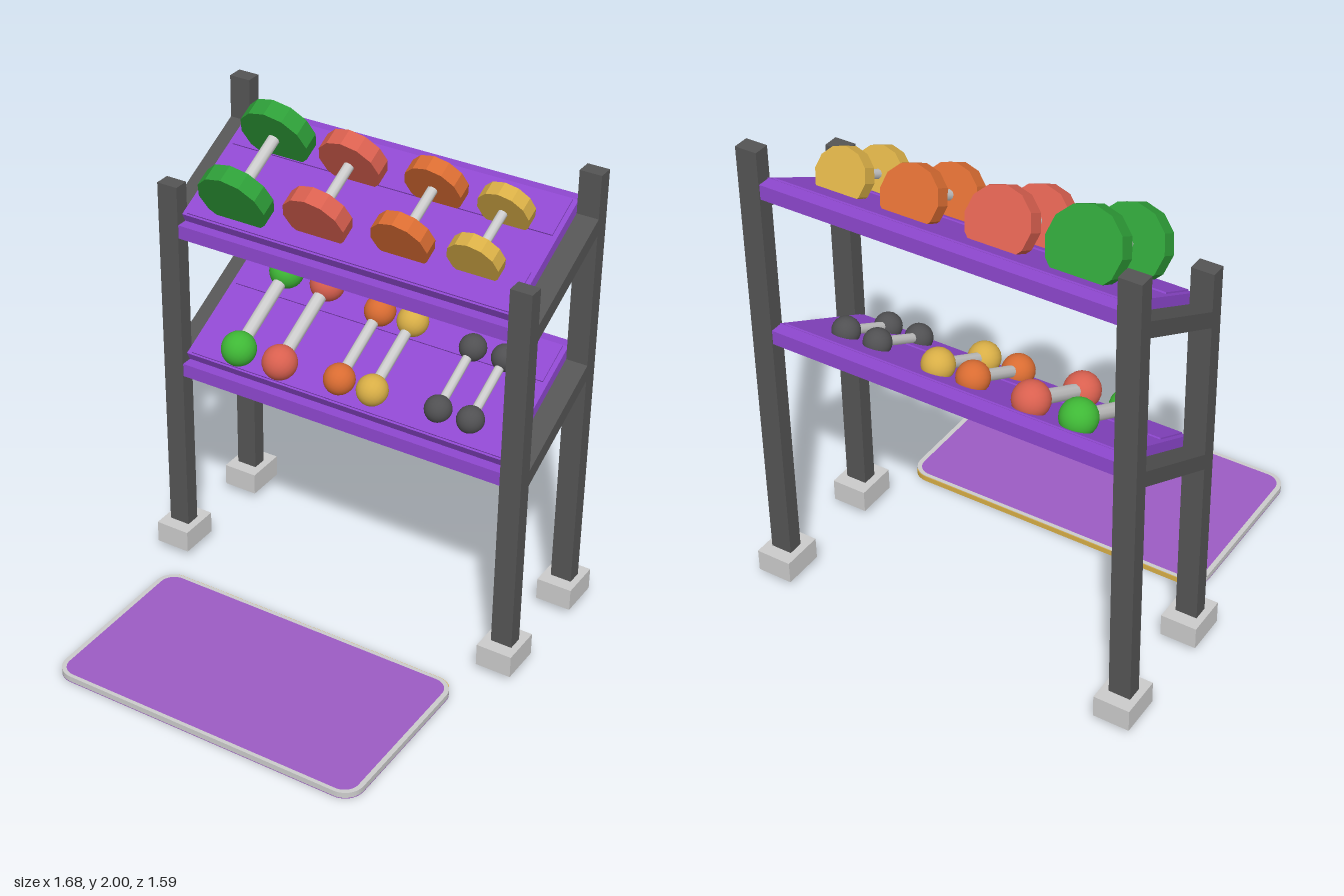
import * as THREE from 'three';

const mat = (name, color, side = THREE.FrontSide) => {
  const m = new THREE.MeshStandardMaterial({ color, side });
  m.name = name;
  return m;
};

export function createModel() {
  const model = new THREE.Group();
  model.name = 'dumbbellRackWithMat';

  const frame = mat('frameGrey', 0x555555);
  const purple = mat('shelfPurple', 0x8f48d0);
  const matPurple = mat('matPurple', 0x9d5cc4);
  const light = mat('lightGrey', 0xcccccc, THREE.DoubleSide);
  const discGreen = mat('discGreen', 0x2e9e38);
  const ballGreen = mat('ballGreen', 0x3fb836);
  const red = mat('red', 0xd9604f);
  const orange = mat('orange', 0xd96c32);
  const yellow = mat('yellow', 0xd8ae46);
  const black = mat('charcoal', 0x505052);

  const add = (parent, name, geo, material, x = 0, y = 0, z = 0) => {
    const mesh = new THREE.Mesh(geo, material);
    mesh.name = name;
    mesh.position.set(x, y, z);
    parent.add(mesh);
    return mesh;
  };
  const box = (parent, name, material, w, h, d, x, y, z) =>
    add(parent, name, new THREE.BoxGeometry(w, h, d), material, x, y, z);

  // Foot: a box with an open underside
  const footGeo = new THREE.BoxGeometry(0.15, 0.095, 0.175);
  const index = Array.from(footGeo.index.array);
  index.splice(18, 6);
  footGeo.setIndex(index);
  footGeo.clearGroups();

  // Posts and feet
  for (const s of [-1, 1]) {
    for (const [label, z, top] of [['front', -0.206, 1.697], ['rear', -0.71, 1.95]]) {
      box(model, label + 'Post', frame, 0.09, top - 0.1, 0.064, s * 0.765, (top + 0.1) / 2, z);
      add(model, label + 'Foot', footGeo, light, s * 0.763, 0.0775, z);
    }
  }

  // Sloping shelves with their side rails and level front and rear beams
  for (const [label, lift] of [['lower', 0], ['upper', 0.625]]) {
    const shelf = new THREE.Group();
    shelf.name = label + 'Shelf';
    shelf.position.y = lift;
    model.add(shelf);

    const slope = new THREE.Group();
    slope.name = 'slopingTray';
    slope.position.set(0, 0.947, -0.205);
    slope.rotation.x = 0.48;
    shelf.add(slope);
    box(slope, 'trayFloor', purple, 1.44, 0.042, 0.545, 0, -0.021, -0.2725);
    box(slope, 'frontPad', purple, 1.4, 0.006, 0.184, 0, 0.003, -0.1);
    box(slope, 'rearPad', purple, 1.4, 0.006, 0.174, 0, 0.003, -0.453);
    for (const s of [-1, 1])
      box(slope, 'sideRail', frame, 0.09, 0.06, 0.56, s * 0.765, -0.07, -0.26);

    box(shelf, 'frontBeam', purple, 1.44, 0.057, 0.048, 0, 0.8815, -0.201);
    box(shelf, 'rearBeam', purple, 1.44, 0.06, 0.048, 0, 1.165, -0.714);
  }

  // Dumbbell: a handle between two heads, lying up the slope
  const up = new THREE.Vector3(0, 1, 0);
  const dumbbell = (name, x, front, rear, headGeo, material, gripRadius) => {
    const a = new THREE.Vector3(x, front[0], front[1]);
    const b = new THREE.Vector3(x, rear[0], rear[1]);
    const dir = b.clone().sub(a);
    const length = dir.length();
    const g = new THREE.Group();
    g.name = name;
    g.position.copy(a);
    g.quaternion.setFromUnitVectors(up, dir.normalize());
    model.add(g);
    add(g, 'handle', new THREE.CylinderGeometry(gripRadius, gripRadius, length, 10), light, 0, length / 2, 0);
    add(g, 'frontHead', headGeo, material);
    add(g, 'rearHead', headGeo, material, 0, length, 0);
  };

  // Upper shelf: faceted disc dumbbells
  const flat = new Map();
  const faceted = (m) => {
    if (!flat.has(m)) flat.set(m, m);
    return m;
  };
  for (const [x, r, t, z0, y1, z1, m, grip] of [
    [-0.479, 0.148, 0.075, -0.223, 1.855, -0.517, discGreen, 0.025],
    [-0.139, 0.132, 0.072, -0.262, 1.833, -0.512, red, 0.022],
    [0.216, 0.12, 0.066, -0.284, 1.824, -0.524, orange, 0.021],
    [0.513, 0.107, 0.06, -0.3, 1.81, -0.519, yellow, 0.019],
  ]) {
    const disc = new THREE.CylinderGeometry(r, r, t, 12).toNonIndexed();
    disc.computeVertexNormals();
    dumbbell('discDumbbell', x, [1.702, z0], [y1, z1], disc, faceted(m), grip);
  }

  // Lower shelf: round-headed dumbbells
  for (const [x, r, z0, y1, z1, m, grip] of [
    [-0.498, 0.072, -0.25, 1.203, -0.6, ballGreen, 0.028],
    [-0.305, 0.072, -0.25, 1.203, -0.6, red, 0.028],
    [-0.043, 0.064, -0.27, 1.176, -0.57, orange, 0.023],
    [0.106, 0.064, -0.27, 1.176, -0.57, yellow, 0.023],
    [0.385, 0.055, -0.291, 1.156, -0.551, black, 0.019],
    [0.525, 0.055, -0.291, 1.156, -0.551, black, 0.019],
  ]) {
    dumbbell('ballDumbbell', x, [1.017, z0], [y1, z1], new THREE.SphereGeometry(r, 20, 14), m, grip);
  }

  // Exercise mat, drawn in plan and extruded upwards
  const rounded = (Type, w, d, r) => {
    const p = new Type();
    p.absarc(w - r, d - r, r, 0, Math.PI / 2);
    p.absarc(r - w, d - r, r, Math.PI / 2, Math.PI);
    p.absarc(r - w, r - d, r, Math.PI, Math.PI * 1.5);
    p.absarc(w - r, r - d, r, Math.PI * 1.5, Math.PI * 2);
    p.closePath();
    return p;
  };
  const matGroup = new THREE.Group();
  matGroup.name = 'exerciseMat';
  matGroup.position.z = 0.41;
  model.add(matGroup);
  const slab = (name, shape, material, y, h) => {
    const geo = new THREE.ExtrudeGeometry(shape, { depth: h, bevelEnabled: false, curveSegments: 5 });
    geo.rotateX(-Math.PI / 2);
    add(matGroup, name, geo, material, 0, y, 0);
  };
  const rim = rounded(THREE.Shape, 0.684, 0.384, 0.08);
  rim.holes.push(rounded(THREE.Path, 0.664, 0.368, 0.062));
  slab('matBase', rounded(THREE.Shape, 0.684, 0.384, 0.08), matPurple, 0, 0.003);
  slab('matRim', rim, light, 0.003, 0.024);
  slab('matSurface', rounded(THREE.Shape, 0.664, 0.368, 0.062), matPurple, 0.003, 0.024);

  // Yellow strip wrapping the rear edge of the mat
  const strip = new THREE.Shape();
  const [cx, cz, a0] = [0.604, 0.304, 0.75];
  strip.absarc(cx, cz, 0.083, a0, Math.PI / 2);
  strip.absarc(-cx, cz, 0.083, Math.PI / 2, Math.PI - a0);
  strip.absarc(-cx, cz, 0.078, Math.PI - a0, Math.PI / 2, true);
  strip.absarc(cx, cz, 0.078, Math.PI / 2, a0, true);
  strip.closePath();
  slab('rearEdgeStrip', strip, yellow, 0.002, 0.023);

  return model;
}
